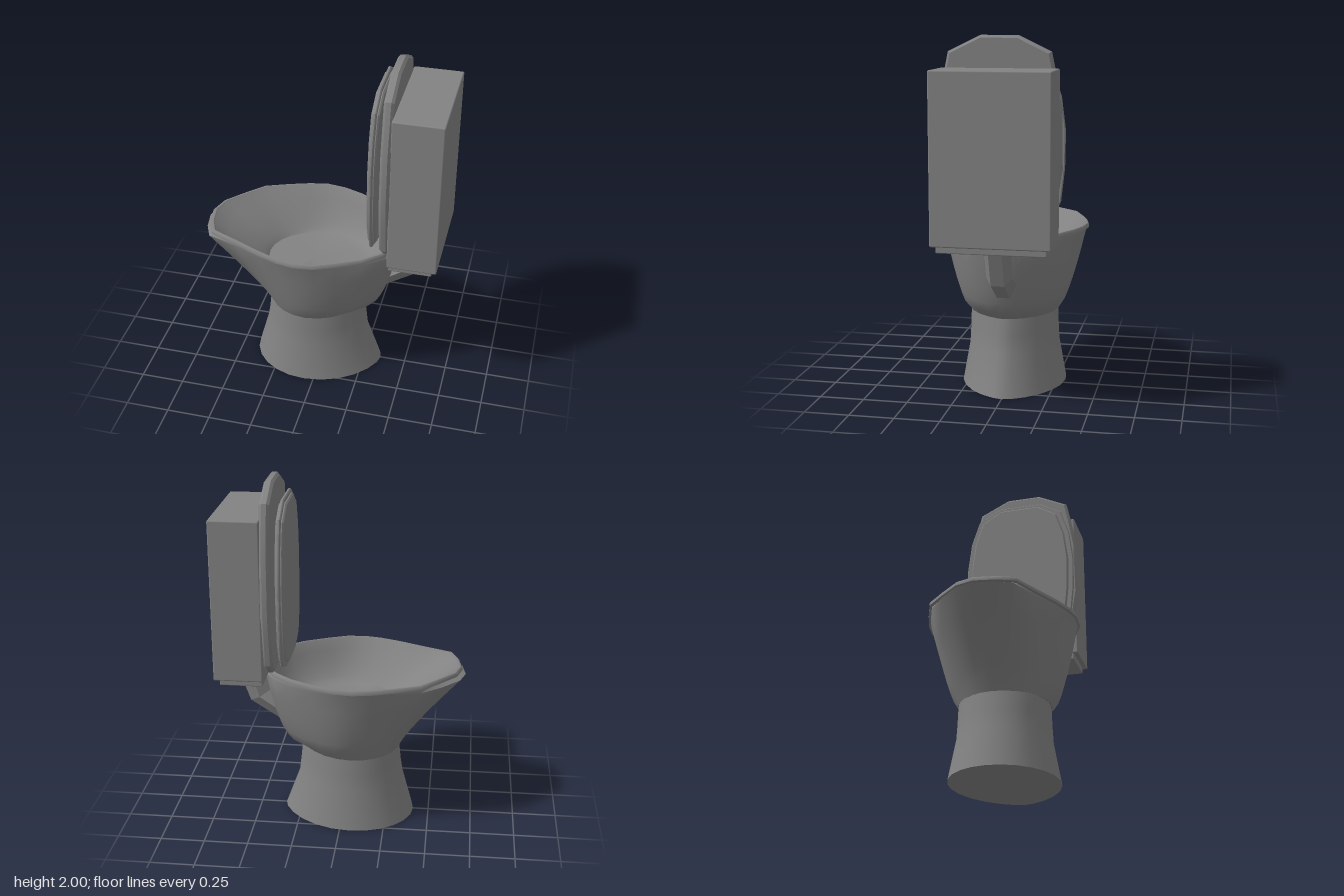
import * as THREE from 'three';
import { toCreasedNormals } from 'three/addons/utils/BufferGeometryUtils.js';
import { RoundedBoxGeometry } from 'three/addons/geometries/RoundedBoxGeometry.js';

const N = 24;
const lerp = THREE.MathUtils.lerp;

// Skin over rings of [x, y, z] points, with a cap on the first and/or last ring
function loft(rings, crease, capFirst, capLast) {
  const n = rings[0].length, pos = rings.flat(2), idx = [];
  for (let r = 0; r < rings.length - 1; r++)
    for (let i = 0; i < n; i++) {
      const j = (i + 1) % n, a = r * n + i, b = r * n + j;
      idx.push(a, a + n, b, b, a + n, b + n);
    }
  const cap = (r, flip) => {
    const c = pos.length / 3;
    for (let k = 0; k < 3; k++) pos.push(rings[r].reduce((s, p) => s + p[k], 0) / n);
    for (let i = 0; i < n; i++) {
      const a = r * n + i, b = r * n + (i + 1) % n;
      idx.push(c, flip ? b : a, flip ? a : b);
    }
  };
  if (capFirst) cap(0, false);
  if (capLast) cap(rings.length - 1, true);
  const g = new THREE.BufferGeometry();
  g.setAttribute('position', new THREE.Float32BufferAttribute(pos, 3));
  g.setIndex(idx);
  return toCreasedNormals(g, crease);
}

const angles = Array.from({ length: N }, (_, i) => (i / N) * Math.PI * 2);
// Oval between two x values, narrowed towards the back when taper is over 1
const oval = (front, back, rz, taper = 1) => angles.map(t => {
  const c = Math.cos(t), s = Math.sin(t), mid = -.06;
  const z = rz * Math.sign(s) * Math.abs(s) ** (c > 0 ? taper : 1);
  return [mid + c * (c > 0 ? back - mid : mid - front), z];
});
const atHeight = (outline, y) => outline.map(([x, z]) => [x, y, z]);

// Rim outline [x, z]: from the back round the +z side to the spout and home
const rim = [
  [.45, 0], [.44, .11], [.38, .21], [.28, .295], [.14, .365], [.03, .41],
  [-.08, .42], [-.18, .4], [-.3, .355], [-.45, .285], [-.61, .215], [-.65, .12],
  [-.67, 0], [-.64, -.1], [-.54, -.215], [-.45, -.31], [-.31, -.365], [-.19, -.405],
  [-.08, -.425], [.03, -.41], [.14, -.37], [.28, -.295], [.38, -.21], [.44, -.11],
];
const inset = s => rim.map(([x, z]) => [-.08 + (x + .08) * s, z * s]);

// Blend two outlines: the back swells out early, the spout stays straight
function blend(low, high, y0, y1, g) {
  return low.map(([x, z], i) => {
    const c = Math.cos(angles[i]);
    const f = g ** (.69 - .4 * c + .11 * c * c);
    return [lerp(x, high[i][0], f), lerp(y0, y1, g), lerp(z, high[i][1], f)];
  });
}

function bowlGeometry() {
  const foot = oval(-.32, .246, .254, 1.3), floor = oval(-.33, .2, .235);
  const wallTop = rim.map(([x, z]) => [x < -.5 ? x - .02 : x, z * .955]);
  const inner = inset(.95);
  const outside = [0, .13, .25, .4, .55, .75, 1].map(g => blend(foot, wallTop, .43, .885, g));
  const lip = [[inset(.97), .902], [rim, .907], [rim, .922], [inset(.985), .931], [inset(.965), .931]]
    .map(([o, y]) => atHeight(o, y));
  const inside = [1, .75, .5, .3, .15, .06, 0].map(g => blend(floor, inner, .69, .922, g));
  return loft([...outside, ...lip, ...inside], .8, false, true);
}

function pedestalGeometry() {
  const rings = [[0, -.41, .352, .3], [.23, -.347, .268, .26], [.33, -.331, .256, .255], [.43, -.32, .246, .252]];
  return loft(rings.map(([y, front, back, rz]) => atHeight(oval(front, back, rz, 1.3), y)), .6, true, false);
}

// Hexagonal elbow; each ring spans from an inner to an outer corner in x and y
function pipeGeometry() {
  const spans = [[.375, .72, .375, .585], [.425, .76, .54, .69], [.465, .9, .615, .9]];
  return loft(spans.map(([x0, y0, x1, y1]) => Array.from({ length: 6 }, (_, i) => {
    const t = (i + .5) * Math.PI / 3, k = .5 + Math.cos(t) / Math.sqrt(3);
    return [lerp(x0, x1, k), lerp(y0, y1, k), -.018 + .073 * Math.sin(t)];
  })), .2, true, true);
}

// Upright bevelled plate between x0 and x1; half outline is [half width, y]
function plateGeometry(half, x0, x1, bevel) {
  const all = [...half, ...half.map(([w, y]) => [-w, y]).reverse()];
  const shape = new THREE.Shape(all.map(([w, y]) => new THREE.Vector2(w, y)));
  const g = new THREE.ExtrudeGeometry(shape, {
    depth: x1 - x0 - 2 * bevel, bevelThickness: bevel, bevelSize: bevel,
    bevelOffset: -bevel, bevelSegments: 1, steps: 1,
  });
  return toCreasedNormals(g.rotateY(Math.PI / 2).translate(x0 + bevel, 0, 0), .5);
}

export function createModel() {
  const group = new THREE.Group();
  const material = new THREE.MeshStandardMaterial({ color: 0x828282 });
  const add = (name, geometry, x = 0, y = 0, z = 0) => {
    const mesh = new THREE.Mesh(geometry, material);
    mesh.name = name;
    mesh.position.set(x, y, z);
    group.add(mesh);
  };

  // Base and bowl
  add('pedestal', pedestalGeometry());
  add('bowl', bowlGeometry());
  add('waterPipe', pipeGeometry());

  // Cistern
  add('tank', new RoundedBoxGeometry(.275, .91, .637, 2, .008), .557, 1.375, -.008);
  add('tankBase', new RoundedBoxGeometry(.24, .05, .585, 2, .006), .545, .908, -.008);

  // Raised lid and the seat in front of it
  const lid = [[.1, 2], [.275, 1.915], [.295, 1.82], [.33, 1.62], [.335, 1.3], [.31, 1.15], [.28, 1], [.2, .93]];
  const seat = [[.13, 1.905], [.26, 1.83], [.31, 1.68], [.333, 1.5], [.33, 1.3], [.31, 1.12], [.26, 1], [.12, .945]];
  const seatCore = seat.map(([w, y]) => [w * .91, 1.425 + (y - 1.425) * .95]);
  add('lid', plateGeometry(lid, .369, .423, .014), 0, 0, -.004);
  add('seatPanel', plateGeometry(seatCore, .297, .342, .008), 0, 0, -.012);
  add('seatEdge', plateGeometry(seat, .311, .329, .005), 0, 0, -.012);
  return group;
}
